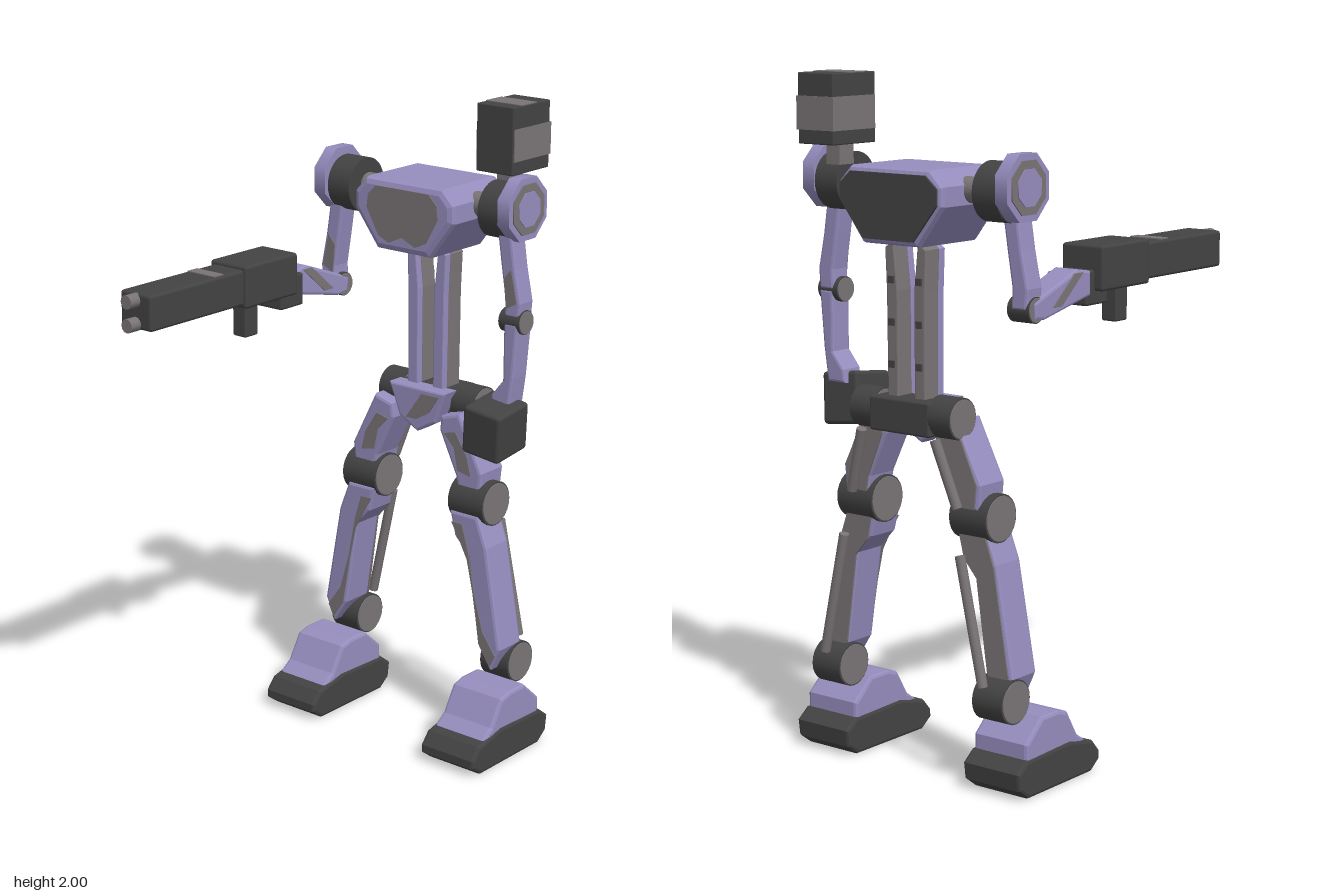
import * as THREE from 'three';
import { RoundedBoxGeometry } from 'three/addons/geometries/RoundedBoxGeometry.js';

const paint = (name, color) => {
  const m = new THREE.MeshStandardMaterial({ color });
  m.name = name;
  return m;
};

export function createModel() {
  const root = new THREE.Group();
  root.name = 'robot';
  const lilac = paint('lilac armour', 0x968dbe);
  const dark = paint('dark metal', 0x434343);
  const grey = paint('grey metal', 0x7a7476);

  const add = (name, geo, mat) => {
    const m = new THREE.Mesh(geo, mat);
    m.name = name;
    root.add(m);
    return m;
  };
  // box given by its limits, with softened edges
  const box = (name, mat, x0, x1, y0, y1, z0, z1, r = 0.008) => {
    const w = Math.abs(x1 - x0), h = y1 - y0, d = z1 - z0;
    const g = r ? new RoundedBoxGeometry(w, h, d, 2, r) : new THREE.BoxGeometry(w, h, d);
    return add(name, g.translate((x0 + x1) / 2, (y0 + y1) / 2, (z0 + z1) / 2), mat);
  };
  // bevelled slab from an outline
  const slab = (pts, depth, b) => {
    const shape = new THREE.Shape(pts.map(p => new THREE.Vector2(p[0], p[1])));
    const g = new THREE.ExtrudeGeometry(shape, {
      depth: depth - 2 * b, bevelEnabled: b > 0, bevelThickness: b, bevelSize: b, bevelOffset: -b, bevelSegments: 2,
    });
    return g.translate(0, 0, b);
  };
  // outline in x,y swept from z0 to z1 (s mirrors x)
  const front = (name, mat, pts, z0, z1, b = 0.008, s = 1) =>
    add(name, slab(pts.map(p => [p[0] * s, p[1]]), z1 - z0, b).translate(0, 0, z0), mat);
  // outline in z,y swept across a width centred on x
  const side = (name, mat, pts, x, w, b = 0.01) =>
    add(name, slab(pts, w, b).translate(0, 0, -w / 2).rotateY(-Math.PI / 2).translate(x, 0, 0), mat);
  // drum lying along x
  const drum = (name, mat, x0, x1, y, z, r, sides = 24, turn = 0) =>
    add(name, new THREE.CylinderGeometry(r, r, Math.abs(x1 - x0), sides).rotateY(turn)
      .rotateZ(Math.PI / 2).translate((x0 + x1) / 2, y, z), mat);
  // rod between two points
  const rod = (name, mat, a, b, r) => {
    const p = new THREE.Vector3(...a), q = new THREE.Vector3(...b);
    const m = add(name, new THREE.CylinderGeometry(r, r, p.distanceTo(q), 12), mat);
    m.position.copy(p).add(q).multiplyScalar(0.5);
    m.quaternion.setFromUnitVectors(new THREE.Vector3(0, 1, 0), q.sub(p).normalize());
  };
  // joint drum with grey end caps
  const joint = (name, x0, x1, y, z, r) => {
    drum(name, dark, x0, x1, y, z, r);
    for (const [x, d] of [[x0, Math.sign(x0 - x1)], [x1, Math.sign(x1 - x0)]])
      drum(name + 'Cap', grey, x, x + d * 0.003, y, z, r * 0.93);
  };

  // chest
  front('torso', lilac, [[-0.145, 1.75], [0.145, 1.75], [0.188, 1.705], [0.188, 1.65], [0.1, 1.535],
    [-0.1, 1.535], [-0.188, 1.65], [-0.188, 1.705]], -0.54, -0.267, 0.02);
  front('chestPanel', grey, [[-0.1, 1.73], [0.1, 1.73], [0.13, 1.7], [0.135, 1.66], [0.09, 1.58], [0.05, 1.562],
    [0, 1.585], [-0.05, 1.562], [-0.09, 1.58], [-0.135, 1.66], [-0.13, 1.7]], -0.268, -0.264, 0);
  front('backPanel', dark, [[-0.135, 1.735], [0.135, 1.735], [0.175, 1.7], [0.175, 1.655], [0.09, 1.55],
    [-0.09, 1.55], [-0.175, 1.655], [-0.175, 1.7]], -0.545, -0.538, 0);

  // off-centre head with a grey band
  box('neck', grey, 0.24, 0.29, 1.74, 1.81, -0.47, -0.41, 0);
  box('head', dark, 0.2, 0.332, 1.8, 2, -0.54, -0.36, 0.004);
  box('headBand', grey, 0.197, 0.335, 1.84, 1.935, -0.543, -0.365, 0);
  box('headTopPatch', grey, 0.202, 0.33, 1.99, 2.002, -0.475, -0.4, 0);

  // waist and pelvis
  box('pelvisBar', dark, -0.11, 0.11, 1, 1.1, -0.505, -0.4);
  front('pelvisPlate', lilac, [[-0.11, 1.1], [0.11, 1.1], [0.07, 1], [0, 0.96], [-0.07, 1]], -0.41, -0.345);
  front('pelvisStripe', grey, [[0.02, 1.085], [0.085, 1.085], [0.05, 1.03], [0, 1.0], [-0.04, 1.0]], -0.346, -0.342, 0);

  for (const s of [-1, 1]) {
    // waist column, lilac in front and grey behind
    const col = [[0.045, 1.54], [0.075, 1.52], [0.07, 1.4], [0.068, 1.09], [0.03, 1.09], [0.03, 1.4]];
    front('waistColumn', lilac, col, -0.41, -0.385, 0.004, s);
    front('waistColumnBack', grey, col, -0.47, -0.41, 0.004, s);
    for (const y of [1.18, 1.3, 1.42]) box('columnStud', dark, s * 0.04, s * 0.06, y, y + 0.02, -0.476, -0.465, 0);

    // shoulder
    drum('shoulderAxle', grey, s * 0.12, s * 0.26, 1.69, -0.405, 0.037);
    drum('shoulderDrum', dark, s * 0.245, s * 0.328, 1.69, -0.395, 0.084, 32);
    const oct = Math.PI / 8;
    drum('shoulderPlate', lilac, s * 0.328, s * 0.37, 1.705, -0.39, 0.1, 8, oct);
    drum('shoulderRing', grey, s * 0.37, s * 0.374, 1.705, -0.39, 0.08, 8, oct);
    drum('shoulderCentre', lilac, s * 0.374, s * 0.377, 1.705, -0.39, 0.055, 8, oct);

    // upper arm and elbow
    front('upperArm', lilac, [[0.295, 1.64], [0.345, 1.64], [0.362, 1.53], [0.383, 1.43], [0.378, 1.37],
      [0.325, 1.37], [0.328, 1.43], [0.31, 1.54]], -0.41, -0.342, 0.008, s);
    front('upperArmStripe', grey, [[0.325, 1.5], [0.35, 1.53], [0.372, 1.43], [0.335, 1.41]], -0.343, -0.339, 0, s);
    joint('elbow', s * 0.312, s * 0.385, 1.37, -0.372, 0.037);

    // hip, thigh and knee
    joint('hip', s * 0.1, s * 0.183, 1.055, -0.445, 0.06);
    const thigh = [[0.095, 1.03], [0.165, 1.05], [0.19, 1], [0.253, 0.875], [0.245, 0.8], [0.165, 0.8], [0.155, 0.85], [0.09, 0.985]];
    front('thigh', lilac, thigh, -0.455, -0.342, 0.01, s);
    front('thighBack', grey, thigh.map(([x, y]) => [0.17 + (x - 0.17) * 0.85, 0.92 + (y - 0.92) * 0.95]), -0.459, -0.453, 0, s);
    front('thighStripe', grey, [[0.11, 0.98], [0.15, 0.94], [0.165, 0.87], [0.215, 0.86], [0.2, 0.92], [0.155, 0.99]], -0.343, -0.339, 0, s);
    rod('thighPiston', grey, [s * 0.135, 1, -0.508], [s * 0.195, 0.81, -0.485], 0.015);
    joint('knee', s * 0.145, s * 0.275, 0.775, -0.39, 0.07);

    // shin and ankle
    const shin = [[0.15, 0.745], [0.255, 0.745], [0.292, 0.65], [0.35, 0.33], [0.315, 0.255], [0.265, 0.33], [0.222, 0.61], [0.17, 0.665]];
    front('shin', lilac, shin, -0.435, -0.322, 0.01, s);
    front('shinBack', grey, shin.map(([x, y]) => [0.25 + (x - 0.25) * 0.87, 0.5 + (y - 0.5) * 0.95]), -0.439, -0.433, 0, s);
    front('shinStripe', grey, [[0.16, 0.71], [0.2, 0.71], [0.225, 0.63], [0.25, 0.5], [0.285, 0.38], [0.335, 0.31],
      [0.315, 0.27], [0.275, 0.33], [0.245, 0.5], [0.222, 0.6], [0.19, 0.66]], -0.323, -0.319, 0, s);
    rod('shinPiston', grey, [s * 0.215, 0.68, -0.498], [s * 0.295, 0.315, -0.498], 0.015);
    joint('ankle', s * 0.25, s * 0.355, 0.265, -0.425, 0.065);

    // foot
    side('footCover', lilac, [[-0.17, 0.1], [-0.21, 0.13], [-0.257, 0.208], [-0.3, 0.22], [-0.375, 0.22],
      [-0.448, 0.155], [-0.448, 0.1]], s * 0.318, 0.19);
    side('footSole', dark, [[-0.108, 0.055], [-0.14, 0.092], [-0.25, 0.118], [-0.45, 0.112], [-0.492, 0.08],
      [-0.485, 0.03], [-0.445, 0.0], [-0.15, 0.0], [-0.108, 0.03]], s * 0.318, 0.202);
  }

  // left forearm and fist
  front('leftForearm', lilac, [[0.33, 1.37], [0.38, 1.37], [0.366, 1.2], [0.352, 1.1], [0.285, 1.1], [0.29, 1.14], [0.33, 1.19]], -0.41, -0.335);
  const fist = add('leftHand', new RoundedBoxGeometry(0.135, 0.155, 0.15, 2, 0.012), dark);
  fist.position.set(0.315, 1.045, -0.325);
  fist.rotation.set(0.12, 0, -0.12);

  // right forearm reaching forward
  side('rightForearm', lilac, [[-0.39, 1.39], [-0.34, 1.41], [-0.19, 1.465], [-0.13, 1.455], [-0.13, 1.385],
    [-0.34, 1.34], [-0.385, 1.345]], -0.35, 0.085, 0.008);
  side('rightForearmStripe', grey, [[-0.17, 1.455], [-0.21, 1.455], [-0.31, 1.37], [-0.27, 1.37]], -0.35, 0.092, 0);
  box('rightHand', dark, -0.39, -0.285, 1.355, 1.455, -0.148, -0.045);

  // twin-barrelled blaster
  box('blasterBody', dark, -0.42, -0.275, 1.395, 1.525, -0.112, 0.12, 0.01);
  box('blasterBarrel', dark, -0.408, -0.286, 1.405, 1.513, 0.11, 0.508, 0.01);
  box('blasterBand', grey, -0.4, -0.294, 1.505, 1.516, 0.197, 0.237, 0);
  box('blasterGrip', dark, -0.372, -0.32, 1.29, 1.41, 0.02, 0.077, 0.006);
  for (const y of [1.422, 1.492])
    rod('muzzle', grey, [-0.347, y, 0.48], [-0.347, y, 0.545], 0.021);

  return root;
}
